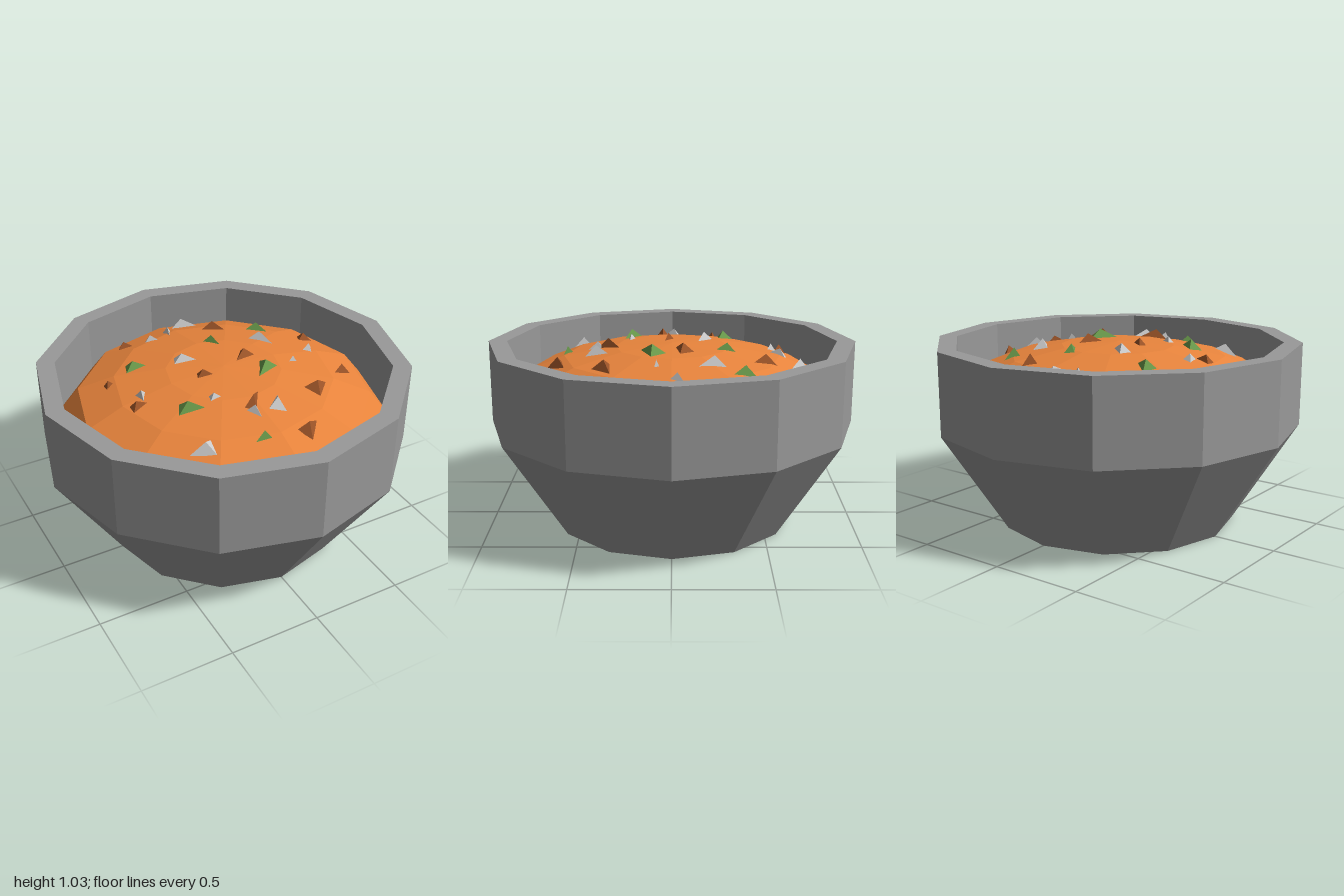
import * as THREE from 'three';

const SIDES = 12;
const SOUP_R = 0.9, SOUP_EDGE = 0.7, SOUP_RISE = 0.29;

const mat = (color) => new THREE.MeshStandardMaterial({ color, flatShading: true });

// Height of the domed soup surface at a point
const soupHeight = (x, z) =>
  SOUP_EDGE + SOUP_RISE * Math.sqrt(Math.max(0, 1 - (x * x + z * z) / (SOUP_R * SOUP_R)));

function lathe(name, profile, material) {
  const geo = new THREE.LatheGeometry(profile.map(([r, y]) => new THREE.Vector2(r, y)), SIDES);
  const mesh = new THREE.Mesh(geo, material);
  mesh.name = name;
  return mesh;
}

// Three-sided sliver resting on the soup: long tip along the angle, peak near its blunt end
function chip(name, [x, z, length, width, degrees], material) {
  const a = THREE.MathUtils.degToRad(degrees);
  const place = (u, v, lift) => {
    const px = x + u * Math.cos(a) - v * Math.sin(a);
    const pz = z + u * Math.sin(a) + v * Math.cos(a);
    return [px, soupHeight(px, pz) + lift, pz];
  };
  const tip = place(length / 2, 0, -0.012);
  const left = place(-length / 2, -width / 2, -0.012);
  const right = place(-length / 2, width / 2, -0.012);
  const peak = place(-length * 0.15, 0, 0.015 + length * 0.18);
  const faces = [tip, left, peak, left, right, peak, right, tip, peak, tip, right, left];
  const geo = new THREE.BufferGeometry();
  geo.setAttribute('position', new THREE.Float32BufferAttribute(faces.flat(), 3));
  geo.computeVertexNormals();
  const mesh = new THREE.Mesh(geo, material);
  mesh.name = name;
  return mesh;
}

// Each chip: x, z, length, width, angle in degrees
const PALE_CHIPS = [
  [0.11, -0.68, 0.14, 0.07, 35], [-0.16, -0.55, 0.08, 0.04, 30], [-0.045, -0.58, 0.1, 0.05, 105],
  [0.36, -0.2, 0.15, 0.09, 65], [-0.14, -0.17, 0.14, 0.08, 25], [-0.48, 0, 0.08, 0.06, 100],
  [0.57, -0.04, 0.1, 0.06, -45], [0.38, 0.08, 0.05, 0.03, 170], [-0.17, 0.23, 0.08, 0.05, 10],
  [-0.04, 0.42, 0.09, 0.07, 80], [0.1, 0.39, 0.13, 0.1, -60], [-0.4, 0.51, 0.13, 0.1, 190],
];
const BROWN_CHIPS = [
  [-0.3, -0.61, 0.08, 0.06, 30], [0.21, -0.48, 0.14, 0.09, 55], [-0.56, -0.24, 0.05, 0.05, 0],
  [0.64, -0.19, 0.08, 0.06, 20], [0.14, -0.05, 0.14, 0.1, 150], [-0.12, 0.025, 0.1, 0.05, 20],
  [-0.52, 0.055, 0.1, 0.07, 0], [0, 0.33, 0.17, 0.07, -45], [0.39, 0.34, 0.15, 0.11, -25],
  [0.61, 0.21, 0.1, 0.07, 160], [0.17, 0.6, 0.13, 0.09, -30],
];
const GREEN_CHIPS = [
  [0.43, -0.36, 0.13, 0.09, 60], [-0.38, -0.29, 0.12, 0.1, 20], [0.09, -0.28, 0.12, 0.07, 70],
  [0.18, 0.12, 0.17, 0.12, 140], [-0.31, 0.24, 0.15, 0.09, 25], [-0.1, 0.58, 0.09, 0.06, 170],
];

export function createModel() {
  const model = new THREE.Group();
  model.name = 'soupBowl';

  // Faceted stone bowl: base, flared side, upright wall, rim and inside
  model.add(lathe('bowl', [
    [0, 0], [0.65, 0], [1, 0.55], [1, 1], [SOUP_R, 1], [SOUP_R, 0.6], [0.58, 0.1], [0, 0.1],
  ], mat(0x999999)));

  // Domed soup, from the wall up to the middle
  const rings = [SOUP_R, 0.79, 0.59, 0.31, 0];
  model.add(lathe('soup', rings.map((r) => [r, soupHeight(r, 0)]), mat(0xe8843c)));

  // Scattered toppings
  const toppings = [
    ['paleChip', PALE_CHIPS, 0xcccccc],
    ['brownChip', BROWN_CHIPS, 0x9c5428],
    ['greenChip', GREEN_CHIPS, 0x68984a],
  ];
  for (const [name, list, color] of toppings) {
    const group = new THREE.Group();
    group.name = name + 's';
    const material = mat(color);
    for (const spec of list) group.add(chip(name, spec, material));
    model.add(group);
  }
  return model;
}
